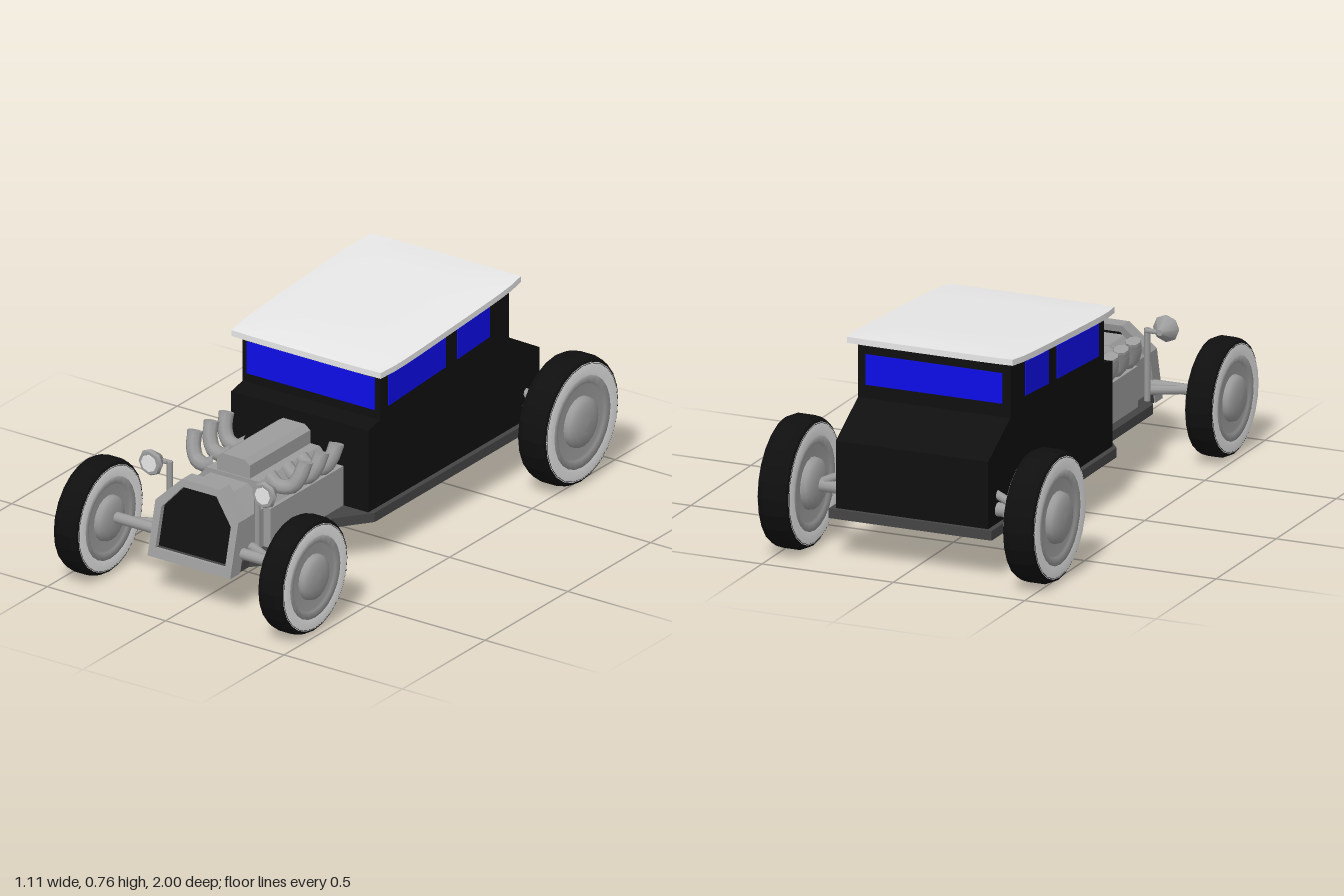
import * as THREE from 'three';

const mat = (name, color, extra = {}) => {
  const m = new THREE.MeshStandardMaterial({ color, ...extra });
  m.name = name;
  return m;
};

export function createModel() {
  const car = new THREE.Group();
  car.name = 'hotRod';
  const black = mat('black', 0x0f0f0f);
  const white = mat('white', 0xe8e8e8);
  const steel = mat('steel', 0x9c9c9c);
  const blue = mat('blueGlass', 0x0e0ef0);
  const floorGray = mat('darkGray', 0x444444);

  const add = (name, geo, material, parent = car) => {
    const m = new THREE.Mesh(geo, material);
    m.name = name;
    parent.add(m);
    return m;
  };
  const shapeOf = (pts) => new THREE.Shape(pts.map(([a, b]) => new THREE.Vector2(a, b)));
  const extrude = (shape, depth) => {
    const g = new THREE.ExtrudeGeometry(shape, { depth, bevelEnabled: false });
    g.translate(0, 0, -depth / 2);
    return g;
  };
  // side profile given as (z, y), extruded across x
  const side = (pts, width) => extrude(shapeOf(pts), width).rotateY(-Math.PI / 2);
  const box = (name, w, h, d, x, y, z, material) => {
    const m = add(name, new THREE.BoxGeometry(w, h, d), material);
    m.position.set(x, y, z);
    return m;
  };
  const rod = (name, a, b, r0, r1, material, sides = 10) => {
    const A = new THREE.Vector3(...a), B = new THREE.Vector3(...b);
    const d = B.clone().sub(A);
    const m = add(name, new THREE.CylinderGeometry(r1, r0, d.length(), sides), material);
    m.position.copy(A).add(B).multiplyScalar(0.5);
    m.quaternion.setFromUnitVectors(new THREE.Vector3(0, 1, 0), d.normalize());
    return m;
  };
  const tube = (name, pts, r) => add(name, new THREE.TubeGeometry(
    new THREE.CatmullRomCurve3(pts.map((p) => new THREE.Vector3(...p))), 10, r, 8), steel);

  // floor pan, drawn from above as (x, z)
  const half = [[0.31, -0.86], [0.31, 0.18], [0.22, 0.3], [0.22, 0.68], [0.17, 0.74], [0.17, 0.84]];
  const outline = [...half, ...half.map(([x, z]) => [-x, z]).reverse()];
  const floor = add('floorPan', extrude(shapeOf(outline), 0.035).rotateX(Math.PI / 2), floorGray);
  floor.position.y = 0.173;

  // cabin, cowl and sloping trunk in one profile
  add('body', side([
    [0.19, 0.19], [0.19, 0.5], [0.12, 0.515], [0.12, 0.7], [-0.66, 0.75],
    [-0.66, 0.54], [-0.845, 0.435], [-0.845, 0.19]], 0.58), black);

  // roof: a sloping slab, crowned and pinched at the ends
  const roofGeo = new THREE.BoxGeometry(0.66, 0.022, 0.855, 10, 1, 12);
  const rp = roofGeo.attributes.position;
  for (let i = 0; i < rp.count; i++) {
    const x = rp.getX(i), y = rp.getY(i), z = rp.getZ(i);
    const u = Math.abs(x) / 0.33, v = Math.abs(z) / 0.4275;
    rp.setX(i, x * (1 - 0.045 * v ** 6));
    const crown = y > 0 ? 0.008 * (1 - u ** 4) * (1 - v ** 6) : 0;
    rp.setY(i, y + crown + 0.728 - 0.063 * z);
    rp.setZ(i, z * (1 - 0.01 * u ** 6) - 0.272);
  }
  roofGeo.computeVertexNormals();
  add('roof', roofGeo, white);

  // windows
  box('windshield', 0.54, 0.12, 0.006, 0, 0.61, 0.122, blue);
  box('rearWindow', 0.52, 0.11, 0.006, 0, 0.645, -0.662, blue);
  const panes = [
    [[0.07, 0.553], [0.07, 0.672], [-0.275, 0.692], [-0.275, 0.572]],
    [[-0.345, 0.575], [-0.345, 0.697], [-0.54, 0.71], [-0.54, 0.588]]];
  for (const s of [1, -1]) for (const pane of panes) {
    add('sideWindow', side(pane, 0.006), blue).position.x = s * 0.291;
  }

  // engine block, heads and cover
  box('engineBlock', 0.37, 0.15, 0.44, 0, 0.265, 0.41, steel);
  add('engineUpper', extrude(shapeOf([
    [-0.17, 0.34], [0.17, 0.34], [0.11, 0.41], [-0.11, 0.41]]), 0.37), steel).position.z = 0.41;
  add('engineCover', extrude(shapeOf([
    [-0.07, 0.4], [0.07, 0.4], [0.07, 0.46], [0.045, 0.477], [-0.045, 0.477], [-0.07, 0.46]]), 0.365), steel)
    .position.z = 0.408;
  add('hood', extrude(shapeOf([
    [-0.155, 0.19], [0.155, 0.19], [0.155, 0.335], [0.08, 0.405], [-0.08, 0.405], [-0.155, 0.335]]), 0.16), steel)
    .position.z = 0.695;

  // radiator shell and grille, raked back towards the top
  const rake = (g) => {
    const p = g.attributes.position;
    for (let i = 0; i < p.count; i++) p.setZ(i, p.getZ(i) - 0.25 * (p.getY(i) - 0.155));
    g.computeVertexNormals();
    return g;
  };
  const shell = shapeOf([[-0.175, 0.155], [0.175, 0.155], [0.175, 0.35], [0.08, 0.443], [-0.08, 0.443], [-0.175, 0.35]]);
  const opening = [[-0.147, 0.188], [0.147, 0.188], [0.147, 0.33], [0.07, 0.418], [-0.07, 0.418], [-0.147, 0.33]];
  shell.holes.push(new THREE.Path(opening.map(([x, y]) => new THREE.Vector2(x, y)).reverse()));
  add('radiatorShell', rake(extrude(shell, 0.06)), steel).position.z = 0.83;
  add('radiatorGrille', rake(extrude(shapeOf(opening), 0.03)), black).position.z = 0.825;

  // wheels: tyre, whitewalls, dished rim and domed hub, alike on both faces
  const lathe = (pts, sides) =>
    new THREE.LatheGeometry(pts.map(([r, y]) => new THREE.Vector2(r, y)), sides).rotateZ(-Math.PI / 2);
  const both = (pts) => [...pts.map(([r, y]) => [r, -y]), ...pts.slice().reverse()];
  const tyreBlack = mat('tyreBlack', 0x0f0f0f, { flatShading: true });
  const ringWhite = mat('whitewall', 0xe8e8e8, { side: THREE.DoubleSide });
  const makeWheel = (name, R, h, x, y, z) => {
    const w = new THREE.Group();
    w.name = name;
    w.position.set(x, y, z);
    car.add(w);
    add('tyre', lathe(both([[0.9 * R, h * 0.97], [0.96 * R, 0.86 * h], [R, 0.5 * h]]), 24), tyreBlack, w);
    for (const s of [1, -1]) {
      add('whitewall', lathe([[0.92 * R, s * 0.95 * h], [0.82 * R, s * h], [0.72 * R, s * 0.97 * h]], 24), ringWhite, w);
    }
    add('rim', lathe(both([[0, 0.75 * h], [0.58 * R, 0.75 * h], [0.6 * R, 0.9 * h], [0.73 * R, 0.95 * h]]), 24), steel, w);
    add('hub', lathe(both([[0, 1.4 * h], [0.17 * R, 1.37 * h], [0.3 * R, 1.25 * h], [0.38 * R, 1.05 * h], [0.4 * R, 0.7 * h]]), 20), steel, w);
  };

  for (const s of [1, -1]) {
    const n = s > 0 ? 'left' : 'right';
    makeWheel(n + 'FrontWheel', 0.211, 0.054, s * 0.432, 0.216, 0.789);
    makeWheel(n + 'RearWheel', 0.236, 0.062, s * 0.467, 0.24, -0.764);

    // exhaust stacks, curling out and up
    for (const z of [0.31, 0.4, 0.5]) {
      tube('exhaustPipe', [[s * 0.11, 0.41, z + 0.03], [s * 0.15, 0.385, z + 0.035],
        [s * 0.2, 0.39, z + 0.025], [s * 0.225, 0.43, z + 0.01], [s * 0.232, 0.475, z - 0.01]], 0.027);
      rod('exhaustTip', [s * 0.232, 0.468, z - 0.007], [s * 0.232, 0.478, z - 0.01], 0.028, 0.028, steel, 8);
    }

    // headlight with post and arm
    rod('headlightPost', [s * 0.185, 0.19, 0.71], [s * 0.185, 0.455, 0.71], 0.011, 0.011, steel, 6);
    rod('headlightArm', [s * 0.18, 0.447, 0.705], [s * 0.24, 0.447, 0.705], 0.009, 0.009, steel, 6);
    rod('headlightShell', [s * 0.24, 0.45, 0.69], [s * 0.24, 0.45, 0.745], 0.012, 0.05, steel, 8);
    rod('headlightRim', [s * 0.24, 0.45, 0.745], [s * 0.24, 0.45, 0.757], 0.05, 0.044, steel, 8);
    rod('headlightLens', [s * 0.24, 0.45, 0.755], [s * 0.24, 0.45, 0.76], 0.032, 0.032, white, 8);

    // suspension links
    rod('frontLink', [s * 0.3, 0.225, 0.78], [s * 0.17, 0.225, 0.72], 0.015, 0.018, steel, 8);
    rod('rearSpring', [s * 0.38, 0.25, -0.764], [s * 0.25, 0.31, -0.764], 0.016, 0.016, steel, 8);
  }
  rod('frontAxle', [-0.4, 0.225, 0.785], [0.4, 0.225, 0.785], 0.02, 0.02, steel, 12);
  rod('rearAxle', [-0.44, 0.24, -0.764], [0.44, 0.24, -0.764], 0.025, 0.025, steel, 12);
  return car;
}
